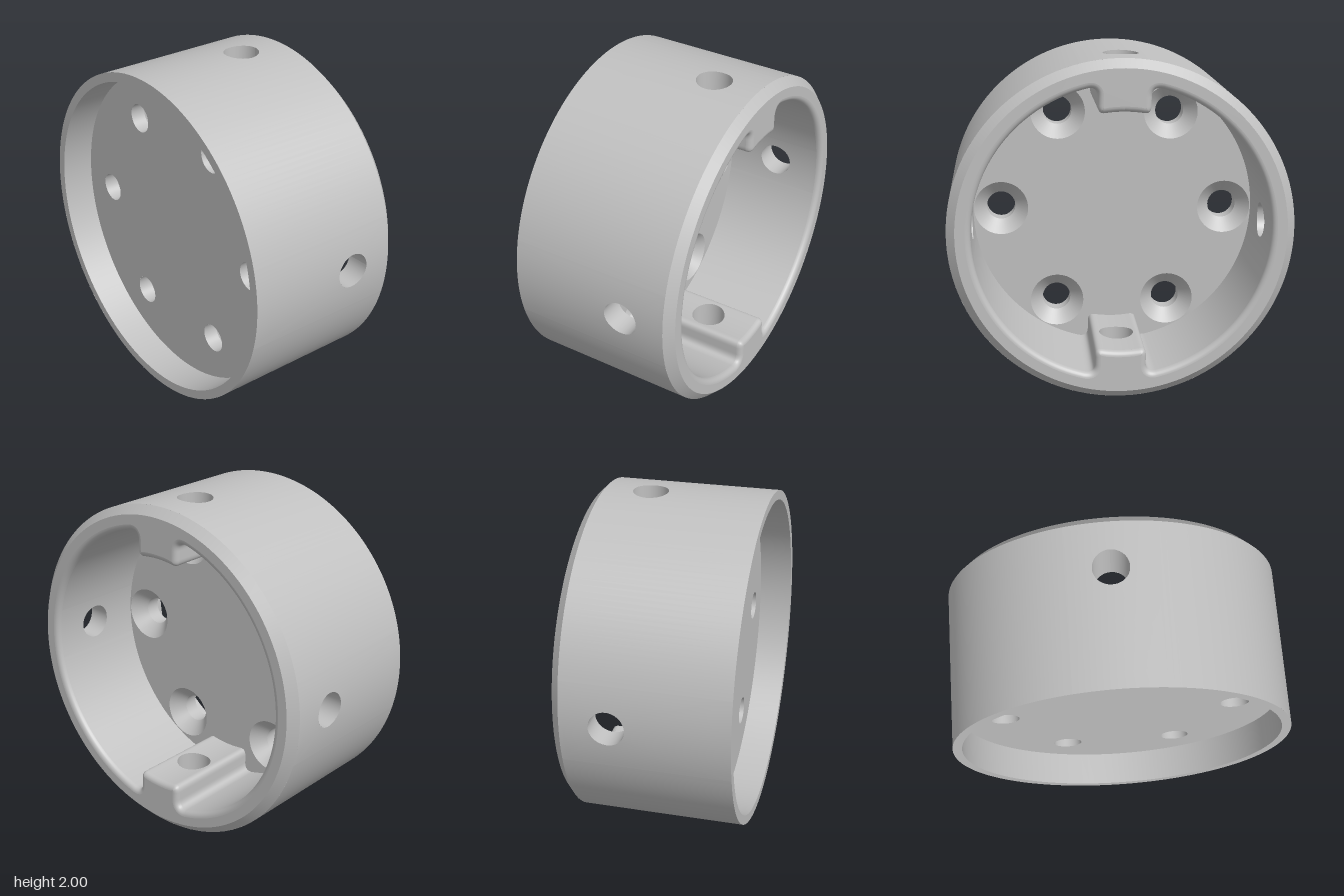
import * as THREE from 'three';

const X_BACK = -0.505, X_FRONT = 0.505, CHAMFER = 0.05;
const X_FLOOR = -0.135, X_RECESS = -0.305; // two faces of the web
const R_OUT = 1, R_POCKET = 0.86, R_KEY = 0.705, R_RECESS = 0.945;
const KEY_W = 0.15, FILLET = 0.033;
const HOLE_X = 0.185, HOLE_R = 0.103;
const KEY_PATCH = 0.107, SIDE_PATCH = 0.16, OUTER_PATCH = 0.25; // half widths around radial holes

// Smooth surface from a function of grid indices
function grid(f, nu, nv) {
  const pos = [], idx = [];
  for (let j = 0; j <= nv; j++) for (let i = 0; i <= nu; i++) pos.push(...f(i, j));
  for (let j = 0; j < nv; j++) for (let i = 0; i < nu; i++) {
    const a = j * (nu + 1) + i, b = a + 1, c = a + nu + 1, d = c + 1;
    idx.push(a, b, d, a, d, c);
  }
  const g = new THREE.BufferGeometry();
  g.setAttribute('position', new THREE.Float32BufferAttribute(pos, 3));
  g.setIndex(idx);
  g.computeVertexNormals();
  return g;
}

// Piece of a cylinder wall of radius R, half width w, with a round radial hole
function holedPatch(R, w, x0, x1) {
  const n = 12, steps = 6;
  return grid((i, j) => {
    const side = Math.floor(i / n) % 4, s = (i % n) / n * 2 - 1;
    const [p, q] = [[s, -1], [1, s], [-s, 1], [-1, -s]][side];
    const a = Math.atan2(q, p), k = j / steps;
    const ox = q > 0 ? HOLE_X + q * (x1 - HOLE_X) : HOLE_X + q * (HOLE_X - x0);
    const t = THREE.MathUtils.lerp(HOLE_R * Math.cos(a), p * w, k);
    const x = THREE.MathUtils.lerp(HOLE_X + HOLE_R * Math.sin(a), ox, k);
    return [x, Math.sqrt(R * R - t * t), t];
  }, 4 * n, steps);
}

// Bore of a radial hole between two radii
function radialBore(r0, r1) {
  return grid((i, j) => {
    const a = i / 48 * Math.PI * 2, t = HOLE_R * Math.sin(a), R = j ? r1 : r0;
    return [HOLE_X + HOLE_R * Math.cos(a), Math.sqrt(R * R - t * t), t];
  }, 48, 1);
}

// Turned surface about the x axis from [radius, x] points
function turned(points, segments = 128) {
  const g = new THREE.LatheGeometry(points.map(p => new THREE.Vector2(...p)), segments);
  return g.rotateZ(-Math.PI / 2);
}

const arc = (R, a0, a1, n) => Array.from({ length: n + 1 }, (_, i) => {
  const a = a0 + (a1 - a0) * i / n;
  return new THREE.Vector2(R * Math.sin(a), R * Math.cos(a));
});

// Quarter of the pocket outline between the key hole patch and the side hole patch
function pocketQuarter() {
  const rootY = Math.sqrt(R_POCKET ** 2 - KEY_W ** 2);
  const rootA = Math.asin((KEY_W + 0.06) / R_POCKET);
  const keyY = Math.sqrt(R_KEY ** 2 - KEY_W ** 2);
  const path = new THREE.Path();
  path.moveTo(KEY_PATCH, Math.sqrt(R_KEY ** 2 - KEY_PATCH ** 2));
  path.quadraticCurveTo(KEY_W, keyY, KEY_W, keyY + 0.05);
  path.lineTo(KEY_W, rootY - 0.06);
  path.quadraticCurveTo(KEY_W, rootY, R_POCKET * Math.sin(rootA), R_POCKET * Math.cos(rootA));
  const end = Math.PI / 2 - Math.asin(SIDE_PATCH / R_POCKET);
  return [...path.getPoints(10), ...arc(R_POCKET, rootA, end, 28).slice(1)];
}

// Whole closed outline, made by mirroring the quarter
function pocketOutline(quarter) {
  const ka = Math.asin(KEY_PATCH / R_KEY), sa = Math.asin(SIDE_PATCH / R_POCKET);
  const q = [...arc(R_KEY, 0, ka, 5).slice(0, -1), ...quarter,
    ...arc(R_POCKET, Math.PI / 2 - sa, Math.PI / 2, 5).slice(1)];
  const flip = (list, sx, sy) => list.map(p => new THREE.Vector2(p.x * sx, p.y * sy));
  const back = [...q].reverse();
  return [...q.slice(0, -1), ...flip(back, 1, -1).slice(0, -1),
    ...flip(q, -1, -1).slice(0, -1), ...flip(back, -1, 1).slice(0, -1)];
}

// Outline moved outwards, into the wall
function offsetOutline(pts, d) {
  const n = pts.length;
  return pts.map((p, i) => {
    const t = pts[(i + 1) % n].clone().sub(pts[(i + n - 1) % n]).normalize();
    return new THREE.Vector2(p.x - t.y * d, p.y + t.x * d);
  });
}

// Flat face across the axis
function disc(R, x, facing, holes) {
  const s = new THREE.Shape().absarc(0, 0, R, 0, Math.PI * 2);
  s.holes.push(...holes);
  return new THREE.ShapeGeometry(s, 64).rotateY(facing * Math.PI / 2).translate(x, 0, 0);
}

export function createModel() {
  const metal = new THREE.MeshStandardMaterial({ color: 0xc0c0c0, side: THREE.DoubleSide });
  metal.name = 'light grey metal';
  const root = new THREE.Group();
  root.name = 'housing';
  const body = new THREE.Group();
  body.name = 'body';
  body.rotation.x = -0.015;
  root.add(body);
  const add = (name, geometry, turn = 0) => {
    const m = new THREE.Mesh(geometry, metal);
    m.name = name;
    m.rotation.x = turn;
    body.add(m);
    return m;
  };

  const quarter = pocketQuarter();
  const outline = pocketOutline(quarter);
  const xWall = X_FRONT - FILLET, xSide = X_FRONT - CHAMFER;
  const oa = Math.asin(OUTER_PATCH / R_OUT);
  const outerArc = arc(R_OUT, oa, Math.PI / 2 - oa, 32);

  // Outer wall, pocket wall and radial holes, four times round
  for (let k = 0; k < 4; k++) {
    const turn = k * Math.PI / 2, key = k % 2 === 0;
    const R = key ? R_KEY : R_POCKET;
    add('outerWall', grid((i, j) => [j ? xSide : X_BACK, outerArc[i].y, outerArc[i].x], 32, 1), turn);
    add('outerWallAroundHole', holedPatch(R_OUT, OUTER_PATCH, X_BACK, xSide), turn);
    add(key ? 'keyFace' : 'pocketWallAroundHole',
      holedPatch(R, key ? KEY_PATCH : SIDE_PATCH, X_FLOOR, xWall), turn);
    add('radialHole', radialBore(R, R_OUT), turn);
    const sz = k < 2 ? 1 : -1, sy = key ? 1 : -1;
    add('pocketWall', grid((i, j) => [j ? xWall : X_FLOOR, sy * quarter[i].y, sz * quarter[i].x],
      quarter.length - 1, 1));
  }

  // Rounded pocket edge and front rim
  const steps = 6;
  const rings = Array.from({ length: steps + 1 }, (_, j) =>
    offsetOutline(outline, FILLET * (1 - Math.cos(j / steps * Math.PI / 2))));
  add('pocketEdge', grid((i, j) => {
    const p = rings[j][i % outline.length];
    return [xWall + FILLET * Math.sin(j / steps * Math.PI / 2), p.y, p.x];
  }, outline.length, steps));
  add('frontRim', disc(R_OUT - CHAMFER, X_FRONT, 1, [new THREE.Path(rings[steps])]));
  add('frontChamfer', turned([[R_OUT, xSide], [R_OUT - CHAMFER, X_FRONT]]));

  // Rear rim and recess
  add('rearRim', turned([[R_RECESS, X_BACK], [R_OUT, X_BACK]]));
  add('recessWall', turned([[R_RECESS, X_RECESS], [R_RECESS, X_BACK]]));

  // Web with six countersunk holes
  const spots = Array.from({ length: 6 }, (_, i) => [0.69 * Math.cos(i * Math.PI / 3), 0.69 * Math.sin(i * Math.PI / 3)]);
  const circles = r => spots.map(([u, v]) => new THREE.Path().absarc(u, v, r, 0, Math.PI * 2, true));
  add('pocketFloor', disc(0.9, X_FLOOR, 1, circles(0.165)));
  add('recessFloor', disc(R_RECESS, X_RECESS, -1, circles(0.087)));
  for (const [z, y] of spots) {
    add('countersink', turned([[0.087, X_FLOOR - 0.08], [0.165, X_FLOOR]], 48)).position.set(0, y, z);
    add('screwHole', turned([[0.087, X_RECESS], [0.087, X_FLOOR - 0.08]], 48)).position.set(0, y, z);
  }

  body.position.y = 1;
  return root;
}
